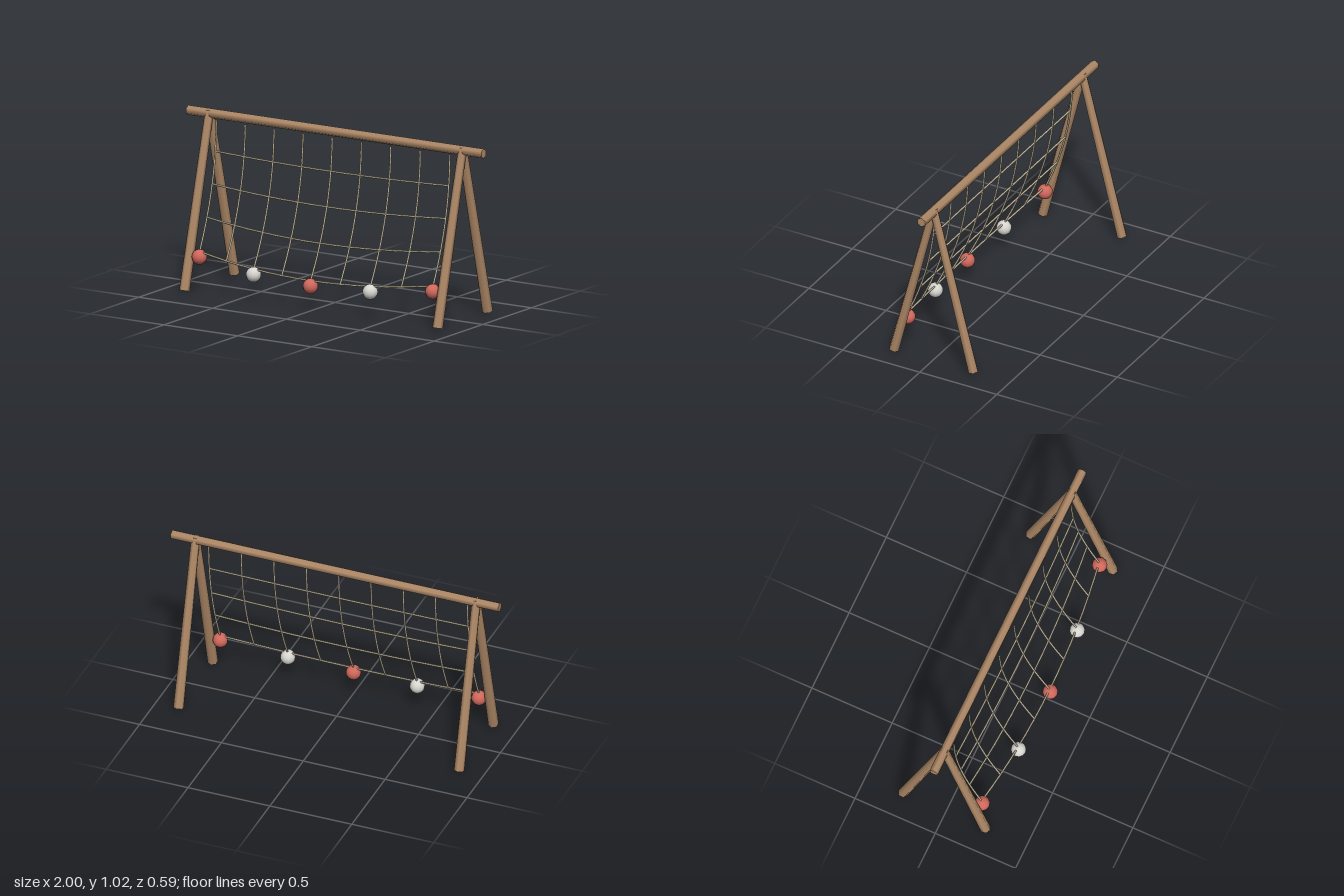
import * as THREE from 'three';

export function createModel() {
  const group = new THREE.Group();
  const material = (name, color) => {
    const m = new THREE.MeshStandardMaterial({ color });
    m.name = name;
    return m;
  };
  const wood = material('wood', 0xb08a68);
  const rope = material('rope', 0xb8ae94);
  rope.side = THREE.DoubleSide;
  const red = material('red', 0xd0685c);
  const white = material('white', 0xd8d6d0);

  const add = (name, geometry, mat) => {
    const mesh = new THREE.Mesh(geometry, mat);
    mesh.name = name;
    group.add(mesh);
    return mesh;
  };

  // Hexagonal top beam, one corner upward
  const beamGeo = new THREE.CylinderGeometry(0.028, 0.028, 2, 6);
  beamGeo.rotateY(Math.PI / 2).rotateZ(Math.PI / 2);
  add('topBeam', beamGeo, wood).position.set(0, 0.994, -0.01);

  // Two A-frames of tapered, splayed legs
  const tilt = Math.atan2(0.257, 0.995);
  const legGeo = new THREE.CylinderGeometry(0.025, 0.03, Math.hypot(0.257, 0.995), 6);
  for (const sx of [-1, 1]) {
    for (const sz of [-1, 1]) {
      const leg = add((sz > 0 ? 'front' : 'back') + (sx > 0 ? 'LeftLeg' : 'RightLeg'), legGeo, wood);
      leg.position.set(sx * 0.857, 0.51, -0.01 + sz * 0.1285);
      leg.rotation.x = -sz * tilt;
    }
  }

  // Net surface: u runs across (-1..1), t runs down (0..1), sagging in the middle
  const netPoint = (u, t) => {
    const sag = 1 - u * u;
    return new THREE.Vector3(
      u * 0.79,
      0.973 - (0.735 + 0.058 * sag) * t,
      0.02 + 0.01 * sag + (0.172 + 0.048 * sag) * t * t
    );
  };
  const strand = (name, points) =>
    add(name, new THREE.TubeGeometry(new THREE.CatmullRomCurve3(points), 16, 0.006, 6), rope);
  const steps = Array.from({ length: 9 }, (_, i) => i / 8);

  // Hanging ropes
  steps.forEach((s) => strand('hangingRope', steps.map((t) => netPoint(s * 2 - 1, 0.006 + t * 0.994))));

  // Cross ropes
  for (let row = 1; row <= 4; row++) {
    strand('crossRope', steps.map((s) => netPoint(s * 2 - 1, row / 4)));
  }

  // Balls under the lowest rope, alternating colours
  const ballGeo = new THREE.SphereGeometry(0.044, 12, 10);
  for (let i = 0; i < 5; i++) {
    const p = netPoint(i / 2 - 1, 1);
    add('ball', ballGeo, i % 2 ? white : red).position.set(p.x, p.y - 0.031, p.z + 0.003);
  }

  return group;
}
